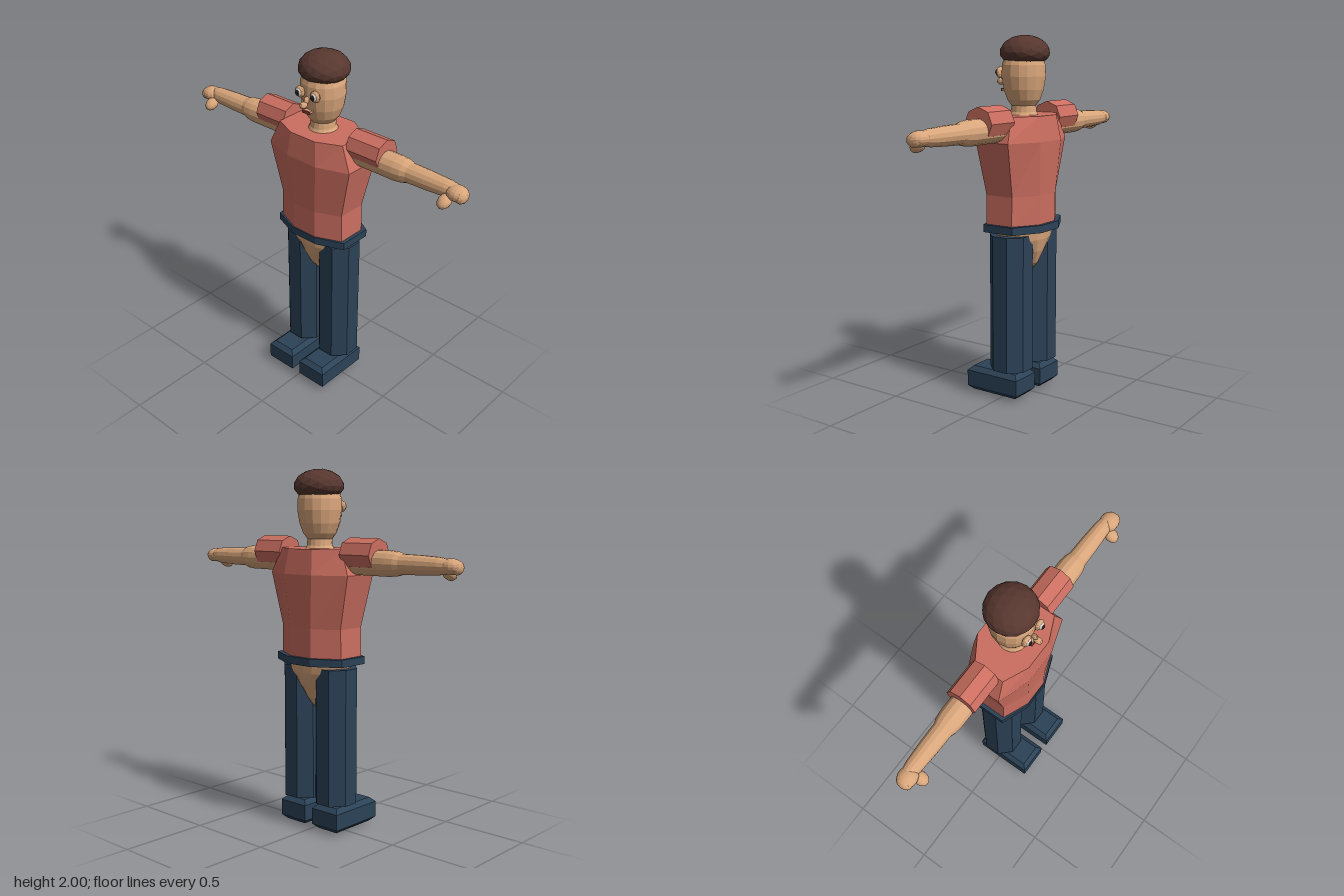
import * as THREE from 'three';

const paint = (name, color) => {
  const m = new THREE.MeshStandardMaterial({ color, flatShading: true });
  m.name = name;
  return m;
};

// Closed skin through cross-section rings listed from bottom to top
function loft(rings) {
  const n = rings[0].length, pos = [], index = [];
  rings.forEach((r) => r.forEach((p) => pos.push(...p)));
  for (let i = 0; i < rings.length - 1; i++) {
    for (let j = 0; j < n; j++) {
      const a = i * n + j, b = i * n + (j + 1) % n;
      index.push(a, b, b + n, a, b + n, a + n);
    }
  }
  const top = (rings.length - 1) * n;
  for (let j = 1; j < n - 1; j++) index.push(0, j + 1, j, top, top + j, top + j + 1);
  const g = new THREE.BufferGeometry();
  g.setAttribute('position', new THREE.Float32BufferAttribute(pos, 3));
  g.setIndex(index);
  g.computeVertexNormals();
  return g;
}

// Eight-cornered ring: half width w, half panel width n, front and back z
const octagon = (y, w, n, front, back) => {
  const f = front - 0.06, b = back + 0.085;
  return [[w, f], [w, b], [n, back], [-n, back], [-w, b], [-w, f], [-n, front], [n, front]]
    .map(([x, z]) => [x, y, z]);
};

const ellipse = (y, rx, rz, cz, n = 20) => Array.from({ length: n }, (_, i) => {
  const a = (i / n) * Math.PI * 2;
  return [rx * Math.cos(a), y, cz - rz * Math.sin(a)];
});

export function createModel() {
  const skin = paint('skin', 0xd9a67b);
  const shirt = paint('shirt red', 0xcb6e60);
  const navy = paint('navy', 0x2c4257);
  const brown = paint('hair brown', 0x57372f);
  const white = paint('eye white', 0xd8d4cc);
  const dark = paint('pupil dark', 0x2a211e);
  const red = paint('lip red', 0x8e433f);

  const model = new THREE.Group();
  model.name = 'figure';
  const add = (name, geo, mat, x = 0, y = 0, z = 0) => {
    const m = new THREE.Mesh(geo, mat);
    m.name = name;
    m.position.set(x, y, z);
    model.add(m);
    return m;
  };
  const ball = (name, mat, [x, y, z], [rx, ry, rz], w = 14, h = 10) =>
    add(name, new THREE.SphereGeometry(1, w, h).scale(rx, ry, rz), mat, x, y, z);

  // Torso and belt
  add('shirt', loft([
    octagon(0.96, 0.22, 0.075, 0.125, -0.185),
    octagon(1.15, 0.215, 0.075, 0.125, -0.188),
    octagon(1.44, 0.28, 0.1, 0.145, -0.207),
    octagon(1.575, 0.22, 0.085, 0.13, -0.185),
  ]), shirt);
  add('belt', loft([
    octagon(0.95, 0.24, 0.085, 0.13, -0.205),
    octagon(0.992, 0.24, 0.085, 0.13, -0.205),
  ]), navy);

  // Pelvis tapering to the crotch
  add('pelvis', loft([
    ellipse(0.70, 0.012, 0.04, -0.03),
    ellipse(0.76, 0.045, 0.09, -0.03),
    ellipse(0.83, 0.105, 0.118, -0.03),
    ellipse(0.90, 0.18, 0.135, -0.03),
    ellipse(0.96, 0.207, 0.14, -0.03),
  ]), skin);

  // Neck and egg-shaped head
  add('head', loft([
    ellipse(1.565, 0.085, 0.085, -0.03, 16),
    ellipse(1.59, 0.07, 0.072, -0.03, 16),
    ellipse(1.625, 0.067, 0.068, -0.03, 16),
    ellipse(1.655, 0.09, 0.09, -0.03, 16),
    ellipse(1.71, 0.112, 0.109, -0.03, 16),
    ellipse(1.78, 0.124, 0.12, -0.03, 16),
    ellipse(1.84, 0.122, 0.118, -0.03, 16),
    ellipse(1.90, 0.1, 0.1, -0.03, 16),
  ]), skin);

  // Faceted cap of hair, flattened underneath
  const hair = new THREE.IcosahedronGeometry(1, 2);
  const p = hair.attributes.position;
  for (let i = 0; i < p.count; i++) {
    const y = p.getY(i);
    p.setXYZ(i, p.getX(i) * 0.138, y > 0 ? y * 0.095 : Math.max(y * 0.075, -0.05), p.getZ(i) * 0.136);
  }
  hair.computeVertexNormals();
  add('hair', hair, brown, 0, 1.905, -0.037);

  // Nose and mouth
  ball('noseBridge', skin, [0, 1.77, 0.1], [0.012, 0.022, 0.02], 10, 8);
  ball('noseTip', skin, [0, 1.75, 0.12], [0.018, 0.018, 0.026], 10, 8);
  add('mouth', new THREE.BoxGeometry(0.05, 0.016, 0.009), red, 0, 1.705, 0.1);
  add('mouthRoot', new THREE.BoxGeometry(0.045, 0.012, 0.04), skin, 0, 1.705, 0.077);

  const armProfile = [
    [0, 0.18], [0.066, 0.2], [0.068, 0.3], [0.068, 0.5], [0.063, 0.545], [0.053, 0.575],
    [0.051, 0.68], [0.045, 0.8], [0.036, 0.85], [0, 0.87],
  ].map(([r, y]) => new THREE.Vector2(r, y));

  for (const s of [1, -1]) {
    const side = s > 0 ? 'left' : 'right';

    // Eyes
    ball(side + 'Eyelid', skin, [s * 0.052, 1.8, 0.09], [0.031, 0.031, 0.018]);
    ball(side + 'EyeWhite', white, [s * 0.052, 1.8, 0.1], [0.022, 0.022, 0.015]);
    ball(side + 'Pupil', dark, [s * 0.052, 1.8, 0.111], [0.013, 0.015, 0.008], 10, 8);

    // Sleeve
    const sleeve = add(side + 'Sleeve', new THREE.CylinderGeometry(0.087, 0.087, 0.2, 8), shirt, s * 0.32, 1.55, -0.037);
    sleeve.rotation.z = -s * Math.PI / 2;

    // Arm, fist and thumb
    const arm = add(side + 'Arm', new THREE.LatheGeometry(armProfile, 14), skin, 0, 1.51, -0.035);
    arm.rotation.z = -s * Math.PI / 2;
    ball(side + 'Fist', skin, [s * 0.86, 1.51, -0.025], [0.06, 0.04, 0.052]);
    ball(side + 'Knuckle', skin, [s * 0.89, 1.505, -0.02], [0.03, 0.036, 0.042]);
    const thumb = ball(side + 'Thumb', skin, [s * 0.82, 1.47, 0.02], [0.035, 0.03, 0.045]);
    thumb.rotation.x = 0.5;

    // Trouser leg and ankle
    const leg = new THREE.CylinderGeometry(0.12, 0.12, 0.76, 8).rotateY(Math.PI / 8);
    add(side + 'TrouserLeg', leg, navy, s * 0.12, 0.55, -0.03);
    add(side + 'Ankle', new THREE.CylinderGeometry(0.068, 0.068, 0.12, 14), skin, s * 0.12, 0.15, -0.03);

    // Shoe: chamfered block, with the sole of the foot showing through
    const outline = new THREE.Shape();
    const w = 0.066, l = 0.142;
    outline.moveTo(-w, -l).lineTo(w, -l).lineTo(w, l).lineTo(-w, l).closePath();
    const shoe = new THREE.ExtrudeGeometry(outline, {
      depth: 0.09, bevelEnabled: true, bevelSegments: 1, bevelSize: 0.026, bevelThickness: 0.025,
    }).rotateX(-Math.PI / 2);
    add(side + 'Shoe', shoe, navy, s * 0.12, 0.04, 0.042);
    ball(side + 'FootSole', skin, [s * 0.12, 0.05, 0.04], [0.06, 0.05, 0.1]);
  }
  return model;
}
